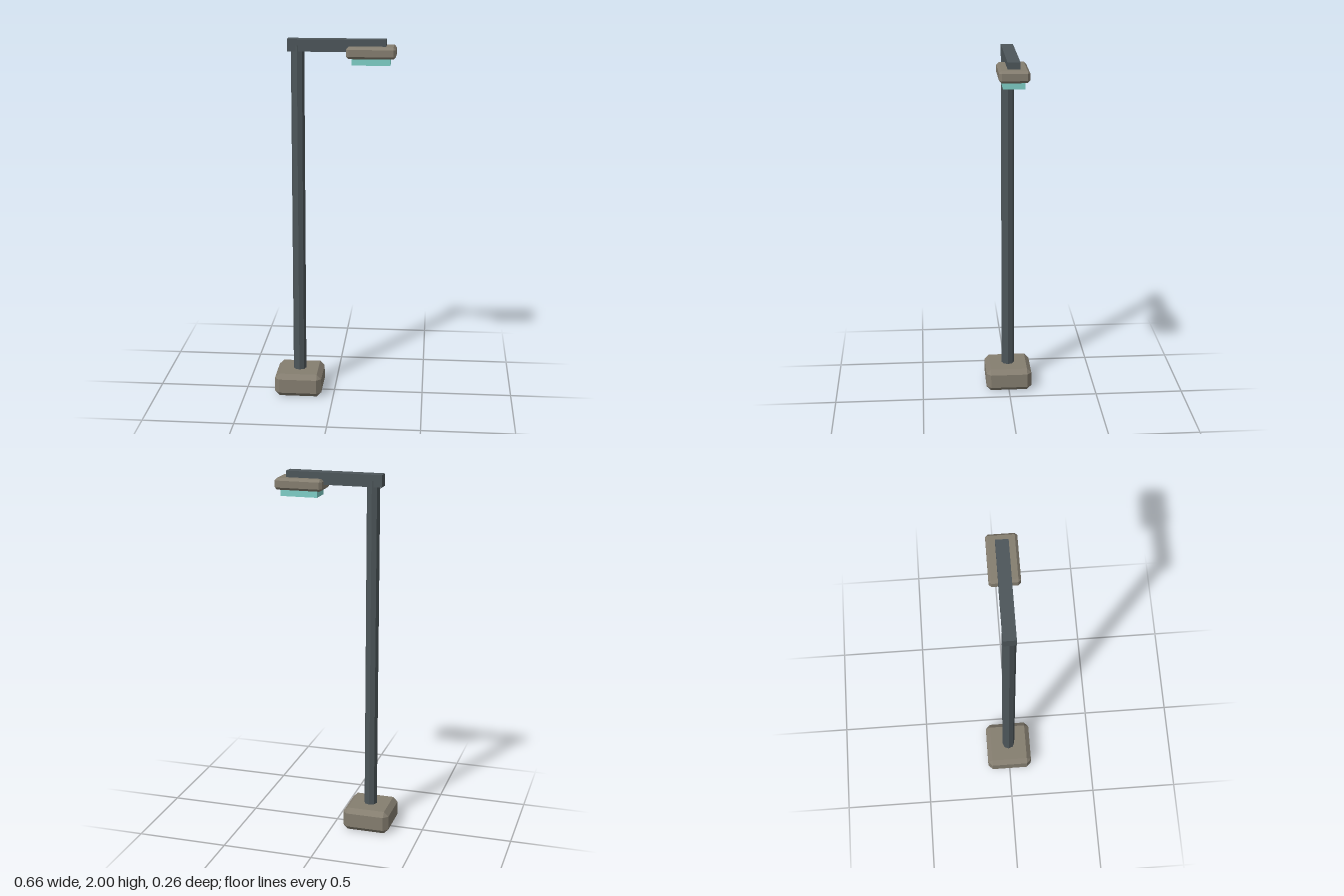
import * as THREE from 'three';
import { ConvexGeometry } from 'three/addons/geometries/ConvexGeometry.js';

// Box with every edge and corner cut flat by c
function chamferedBox(w, h, d, c) {
  const points = [];
  for (const sx of [-1, 1]) for (const sy of [-1, 1]) for (const sz of [-1, 1]) {
    for (let face = 0; face < 3; face++) {
      const inset = [c, c, c];
      inset[face] = 0;
      points.push(new THREE.Vector3(
        sx * (w / 2 - inset[0]), sy * (h / 2 - inset[1]), sz * (d / 2 - inset[2])));
    }
  }
  return new ConvexGeometry(points);
}

export function createModel() {
  const group = new THREE.Group();
  group.name = 'streetLamp';

  const material = (name, color) => {
    const m = new THREE.MeshStandardMaterial({ color });
    m.name = name;
    return m;
  };
  const stone = material('warmGrey', 0x857e70);
  const metal = material('darkSteel', 0x4d565a);
  const glass = material('paleTeal', 0x7fd0c8);

  const add = (name, geometry, mat, x, y) => {
    const mesh = new THREE.Mesh(geometry, mat);
    mesh.name = name;
    mesh.position.set(x, y, 0);
    group.add(mesh);
  };

  // Foot block and eight-sided pole
  add('base', chamferedBox(0.262, 0.131, 0.262, 0.026), stone, -0.197, 0.0655);
  const pole = new THREE.CylinderGeometry(0.036, 0.036, 1.866, 8).toNonIndexed();
  pole.computeVertexNormals();
  add('pole', pole, metal, -0.197, 1.034);

  // Arm, lamp housing and light panel
  add('arm', new THREE.BoxGeometry(0.525, 0.065, 0.066), metal, 0.0125, 1.9675);
  add('lampHousing', chamferedBox(0.262, 0.063, 0.157, 0.013), stone, 0.197, 1.934);
  add('lightPanel', new THREE.BoxGeometry(0.203, 0.04, 0.114), glass, 0.197, 1.888);

  return group;
}
